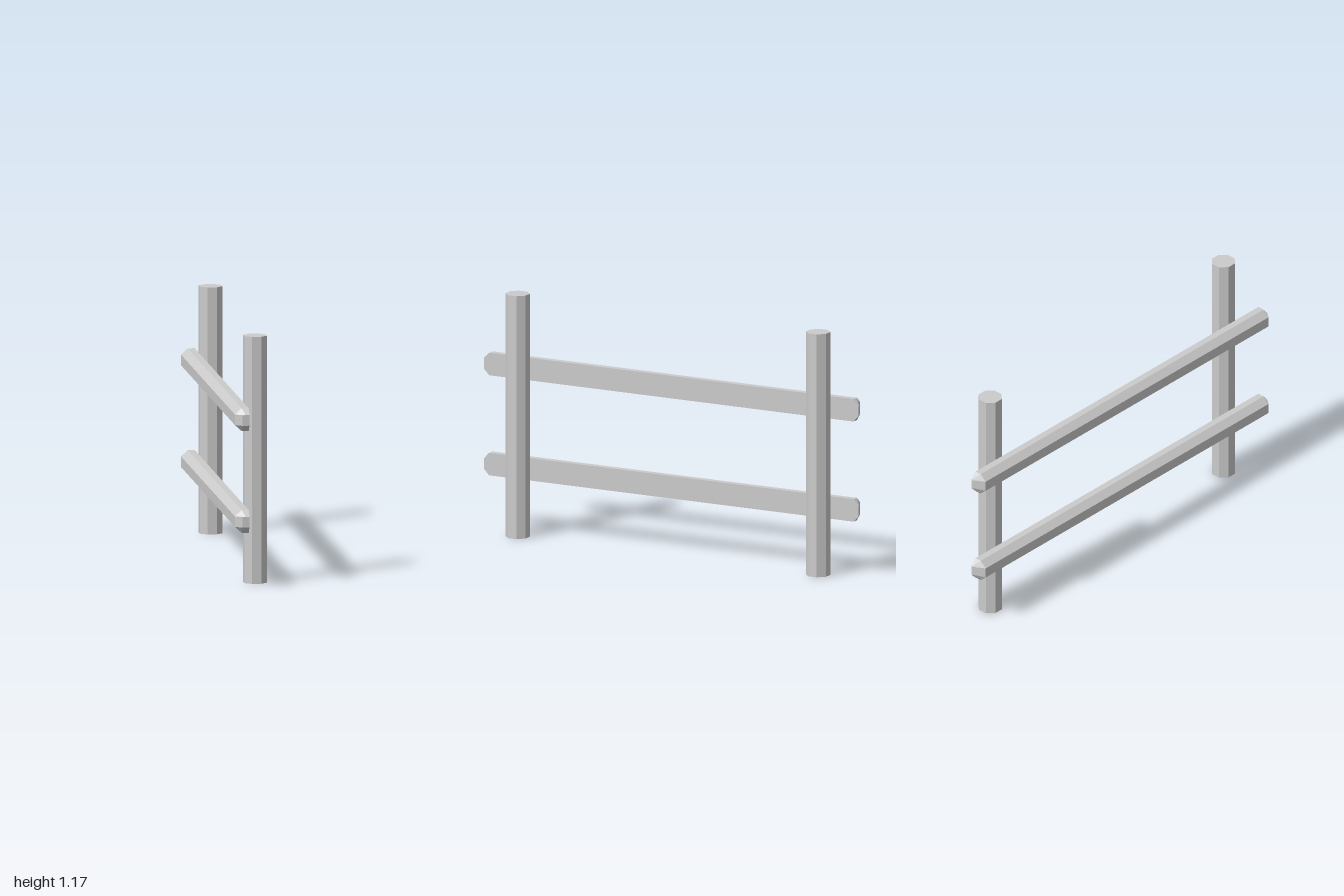
import * as THREE from 'three';

const material = new THREE.MeshStandardMaterial({ color: 0xcccccc, flatShading: true });

// Half-octagon log: lofted through cross-sections, with bevelled ends
function railGeometry() {
  const body = [[-0.022, -0.054], [-0.055, -0.054], [-0.087, -0.025]];
  const frontTip = [[-0.022, -0.025], [-0.04, -0.025], [-0.055, -0.025]];
  const backTip = [[-0.022, -0.025], [-0.026, -0.025], [-0.03, -0.022]];
  // Mirror the lower half of each section to the upper half
  const ring = (half, z) => [...half, ...half.map(([x, y]) => [x, -y]).reverse()].map(([x, y]) => [x, y, z]);
  const rings = [ring(backTip, -1), ring(body, -0.972), ring(body, 0.972), ring(frontTip, 1)];
  const n = 6;
  const index = [];
  for (let r = 0; r < rings.length - 1; r++) {
    for (let i = 0; i < n; i++) {
      const a = r * n + i, b = r * n + (i + 1) % n;
      index.push(a, a + n, b + n, a, b + n, b);
    }
  }
  const last = (rings.length - 1) * n;
  for (let i = 1; i < n - 1; i++) {
    index.push(0, i, i + 1, last, last + i + 1, last + i);
  }
  const indexed = new THREE.BufferGeometry();
  indexed.setAttribute('position', new THREE.Float32BufferAttribute(rings.flat(2), 3));
  indexed.setIndex(index);
  const geometry = indexed.toNonIndexed();
  geometry.computeVertexNormals();
  return geometry;
}

export function createModel() {
  const group = new THREE.Group();
  group.name = 'fence';

  function add(name, geometry, x, y, z) {
    const mesh = new THREE.Mesh(geometry, material);
    mesh.name = name;
    mesh.position.set(x, y, z);
    group.add(mesh);
  }

  // Octagonal posts with flat sides facing the axes
  const height = 1.167;
  const radius = 0.0535 / Math.cos(Math.PI / 8);
  const post = new THREE.CylinderGeometry(radius, radius, height, 8).rotateY(Math.PI / 8);
  add('frontPost', post, 0.032, height / 2, 0.79);
  add('backPost', post, 0.032, height / 2, -0.813);

  // Split-log rails, flat side against the posts
  const rail = railGeometry();
  add('lowerRail', rail, 0, 0.315, 0);
  add('upperRail', rail, 0, 0.796, 0);

  return group;
}
